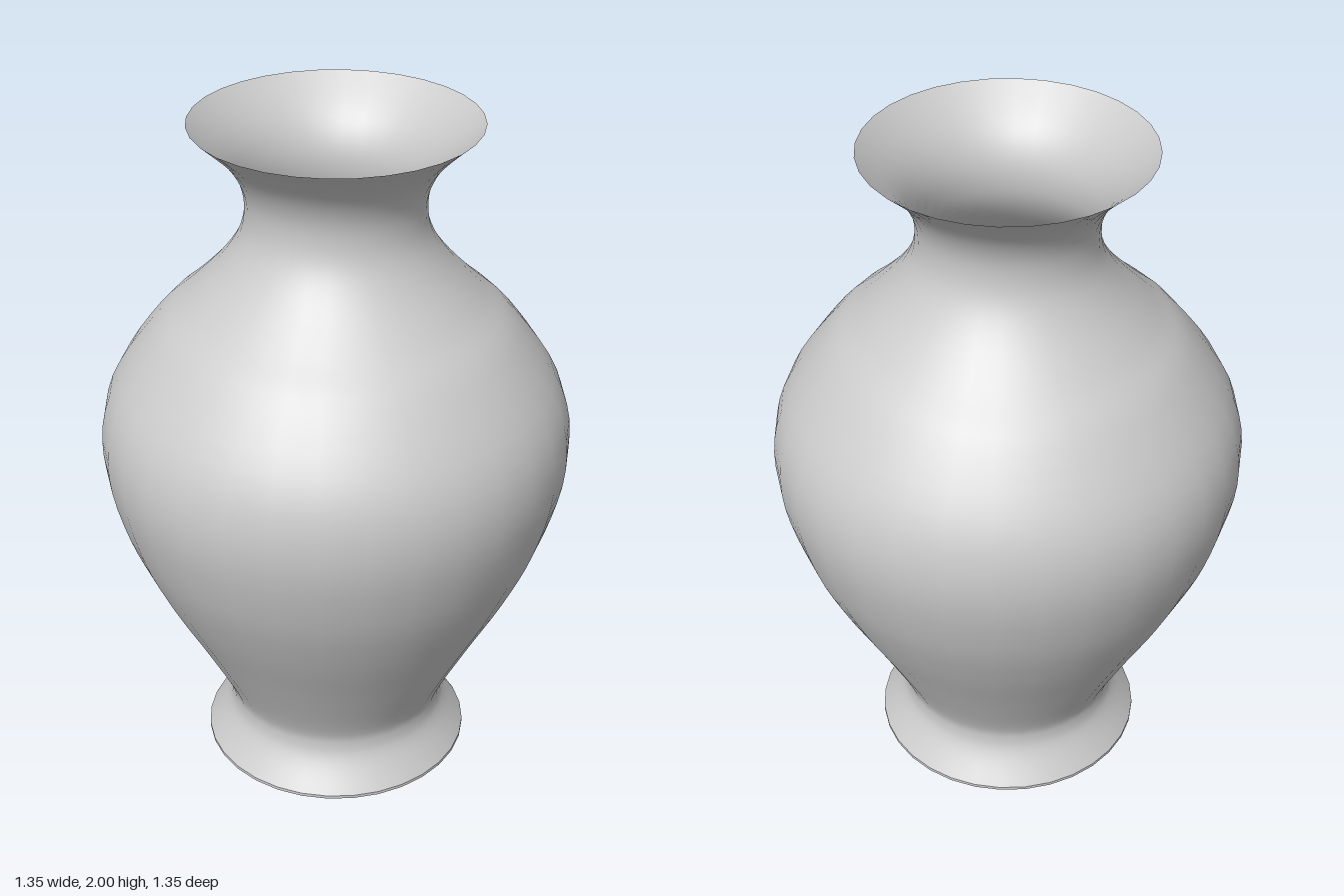
import * as THREE from 'three';

const SEGMENTS = 32;

export function createModel() {
  const group = new THREE.Group();
  group.name = 'vase';

  // Thin wall: a smooth profile of [radius, height] turned about the y axis
  const profile = new THREE.SplineCurve([
    [0.4, 0.01], [0.345, 0.085], [0.326, 0.14], [0.34, 0.21], [0.435, 0.4],
    [0.54, 0.6], [0.625, 0.8], [0.674, 1.02], [0.645, 1.21], [0.52, 1.4],
    [0.415, 1.5], [0.32, 1.6], [0.264, 1.69], [0.25, 1.775], [0.268, 1.85],
    [0.315, 1.92], [0.4, 2.0],
  ].map(([r, y]) => new THREE.Vector2(r, y)));
  const wall = new THREE.Mesh(
    new THREE.LatheGeometry(profile.getPoints(64), SEGMENTS),
    new THREE.MeshStandardMaterial({ color: 0xcccccc, side: THREE.DoubleSide })
  );
  wall.name = 'wall';
  group.add(wall);

  // Thin disc closing the foot
  const base = new THREE.Mesh(
    new THREE.CylinderGeometry(0.4, 0.4, 0.01, SEGMENTS),
    new THREE.MeshStandardMaterial({ color: 0xcccccc })
  );
  base.name = 'base';
  base.position.y = 0.005;
  group.add(base);

  return group;
}
